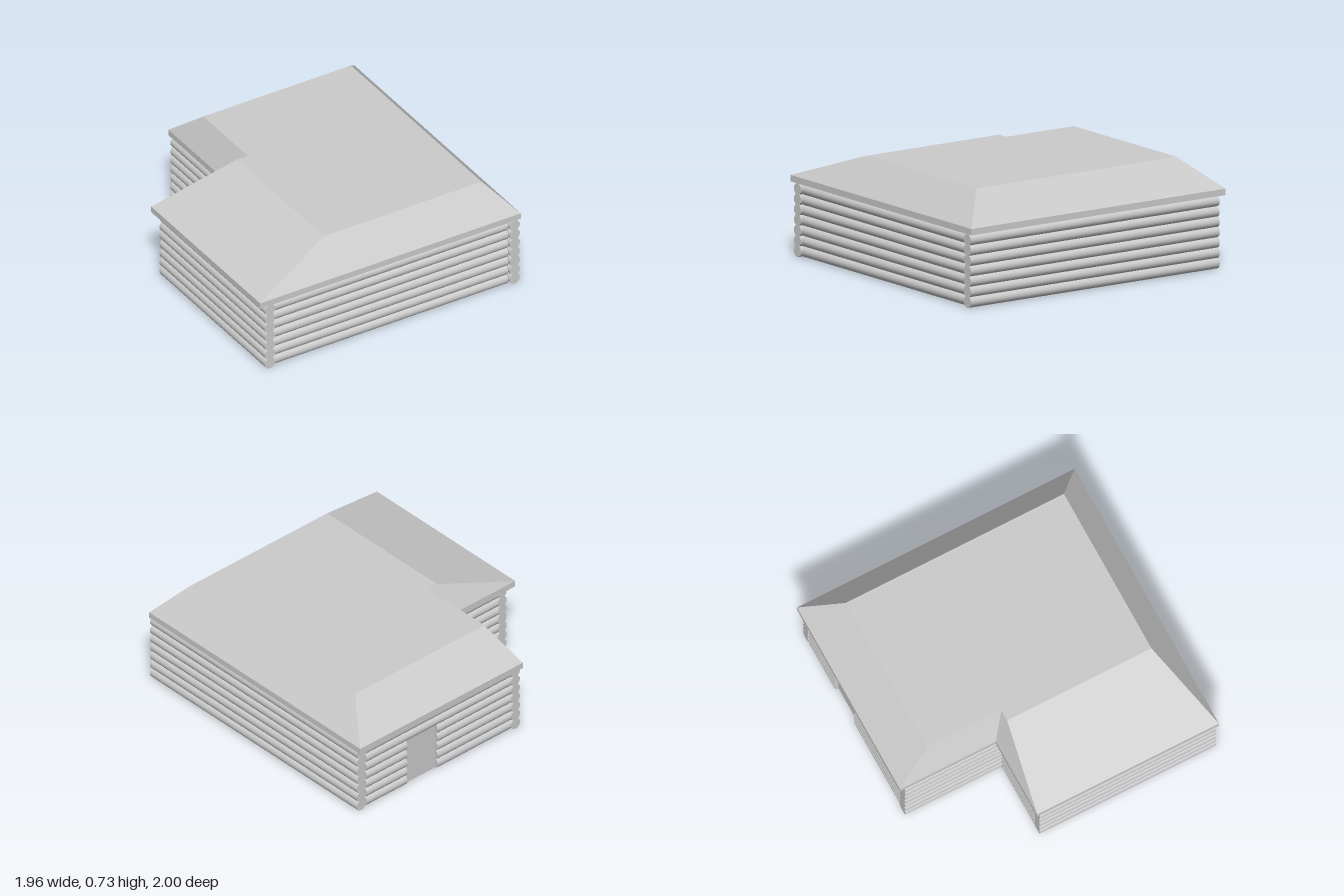
import * as THREE from 'three';

const material = new THREE.MeshStandardMaterial({ color: 0xcccccc });
const flatMaterial = new THREE.MeshStandardMaterial({ color: 0xcccccc, flatShading: true });

const ROWS = 7, RADIUS = 0.038, STEP = 0.0675;
const EAVE = 0.48, ROOF_BASE = 0.522, ROOF_TOP = 0.73;
const DOOR = { left: 0.275, right: 0.535, rows: 5, top: 0.346 };

// Plan outlines as [x, z], all listed in the same winding
const EAVES = [[-0.98, 1], [0.975, 1], [0.975, -1], [-0.42, -1], [-0.42, -0.31], [-0.98, -0.31]];
const CROWN = [[-0.395, 0.825], [0.79, 0.825], [0.79, -0.747], [-0.317, -0.747], [-0.317, -0.215], [-0.395, -0.215]];
const WALLS = [[-0.905, 0.955], [0.93, 0.955], [0.93, -0.925], [-0.39, -0.925], [-0.39, -0.235], [-0.905, -0.235]];

function add(group, name, geometry, mat = material) {
  const mesh = new THREE.Mesh(geometry, mat);
  mesh.name = name;
  group.add(mesh);
  return mesh;
}

// Upright prism over an [x, z] outline
function slab(outline, y, height, hole) {
  const points = (list) => list.map(([x, z]) => new THREE.Vector2(x, -z));
  const shape = new THREE.Shape(points(outline));
  if (hole) shape.holes.push(new THREE.Path(points(hole)));
  return new THREE.ExtrudeGeometry(shape, { depth: height, bevelEnabled: false })
    .rotateX(-Math.PI / 2).translate(0, y, 0);
}

// Row of stacked logs lying along x or z
function logWall(group, name, axis, from, to, across, firstRow = 0, lastRow = ROWS) {
  const wall = new THREE.Group();
  wall.name = name;
  const geometry = new THREE.CylinderGeometry(RADIUS, RADIUS, to - from, 24);
  if (axis === 'x') geometry.rotateZ(Math.PI / 2);
  else geometry.rotateX(Math.PI / 2);
  const mid = (from + to) / 2;
  for (let i = firstRow; i < lastRow; i++) {
    const log = add(wall, 'log', geometry);
    const y = RADIUS + i * STEP;
    if (axis === 'x') log.position.set(mid, y, across);
    else log.position.set(across, y, mid);
  }
  group.add(wall);
}

// Sloping hips from the eaves up to the flat crown
function hippedRoof() {
  const positions = [];
  const push = ([x, z], y) => positions.push(x, y, z);
  EAVES.forEach((a, i) => {
    const j = (i + 1) % EAVES.length;
    const b = EAVES[j], c = CROWN[j], d = CROWN[i];
    push(a, ROOF_BASE); push(b, ROOF_BASE); push(c, ROOF_TOP);
    push(a, ROOF_BASE); push(c, ROOF_TOP); push(d, ROOF_TOP);
  });
  const flat = CROWN.map(([x, z]) => new THREE.Vector2(x, -z));
  for (const face of THREE.ShapeUtils.triangulateShape(flat, [])) {
    for (const k of face) push(CROWN[k], ROOF_TOP);
  }
  const geometry = new THREE.BufferGeometry();
  geometry.setAttribute('position', new THREE.Float32BufferAttribute(positions, 3));
  geometry.computeVertexNormals();
  return geometry;
}

export function createModel() {
  const cabin = new THREE.Group();
  cabin.name = 'logCabin';

  // Side walls run past the corners, so their log ends show
  logWall(cabin, 'leftWall', 'z', -0.96, 1, 0.93);
  logWall(cabin, 'rightWall', 'z', -0.27, 1, -0.905);
  logWall(cabin, 'recessSideWall', 'z', -0.965, -0.2, -0.39);

  // Front and back walls fit between the side walls
  logWall(cabin, 'frontWall', 'x', -0.875, 0.885, 0.955);
  logWall(cabin, 'recessBackWall', 'x', -0.875, -0.39, -0.235);

  // Back wall, with the lower rows cut for the doorway
  logWall(cabin, 'backWallBesideRecess', 'x', -0.36, DOOR.left, -0.925, 0, DOOR.rows);
  logWall(cabin, 'backWallBesideCorner', 'x', DOOR.right, 0.885, -0.925, 0, DOOR.rows);
  logWall(cabin, 'backWallAboveDoor', 'x', -0.36, 0.885, -0.925, DOOR.rows, ROWS);
  const door = add(cabin, 'door',
    new THREE.BoxGeometry(DOOR.right - DOOR.left + 0.01, DOOR.top, 0.03), flatMaterial);
  door.position.set((DOOR.left + DOOR.right) / 2, DOOR.top / 2 + 0.003, -0.92);

  // Thin lining behind the logs, and the floor
  const t = 0.02;
  const inner = WALLS.map(([x, z], i) => {
    const sx = i === 1 || i === 2 ? -t : t;
    const sz = i < 2 ? -t : t;
    return [x + sx, z + sz];
  });
  add(cabin, 'wallLining', slab(WALLS, 0.004, EAVE - 0.004, inner), flatMaterial);
  add(cabin, 'floor', slab(WALLS, 0.002, 0.02), flatMaterial);

  // Roof
  add(cabin, 'eavesSlab', slab(EAVES, EAVE, ROOF_BASE - EAVE), flatMaterial);
  add(cabin, 'hippedRoof', hippedRoof(), flatMaterial);

  return cabin;
}
